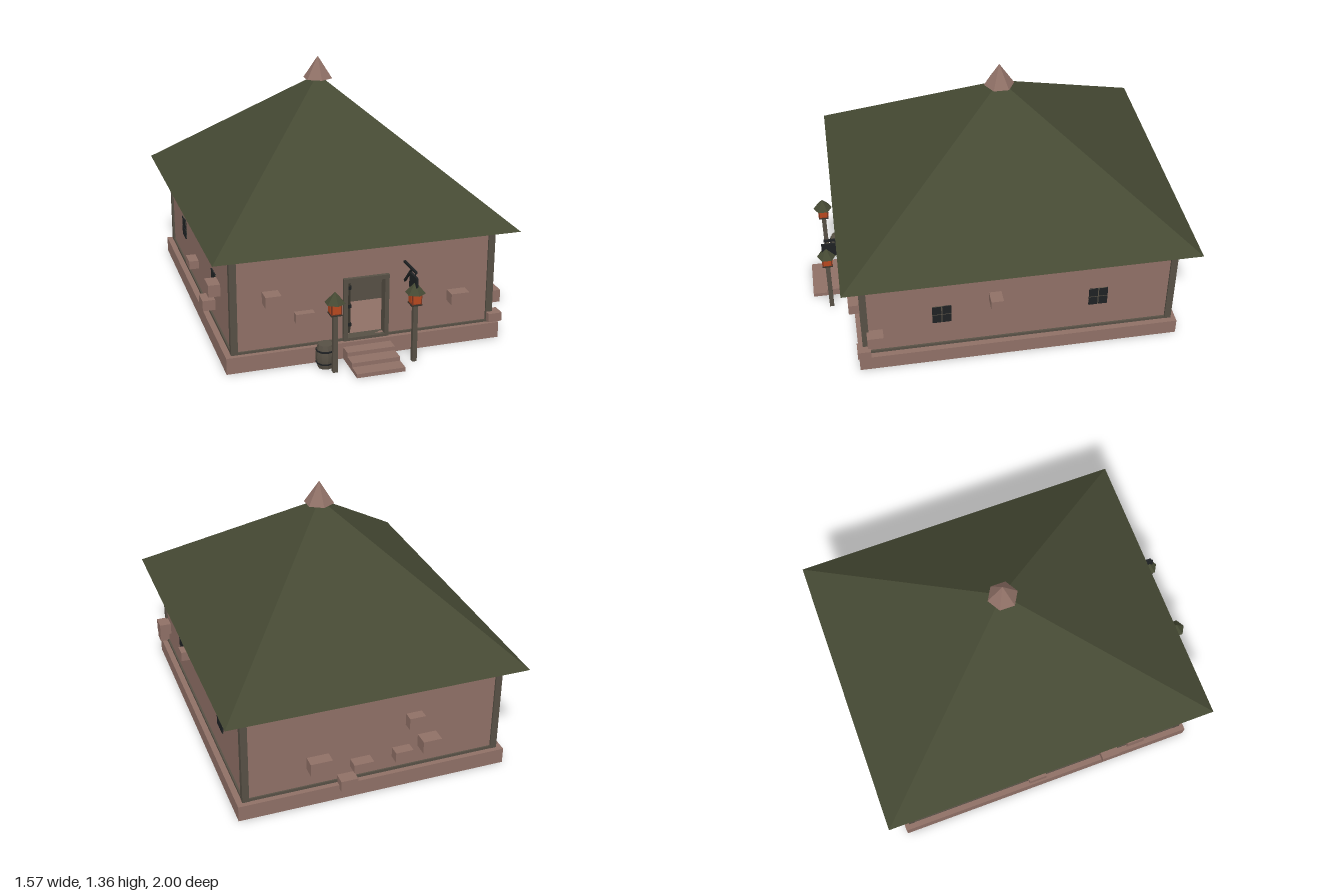
import * as THREE from 'three';
import { toCreasedNormals } from 'three/addons/utils/BufferGeometryUtils.js';

const mat = (name, color) => Object.assign(new THREE.MeshStandardMaterial({ color }), { name });

export function createModel() {
  const stone = mat('stone', 0x8f7066);
  const roofGreen = mat('roof green', 0x454933);
  const wood = mat('wood', 0x575045);
  const darkWood = mat('dark wood', 0x38342c);
  const iron = mat('iron', 0x1e2123);
  const glow = mat('lantern glow', 0xb8481f);
  const rust = mat('lantern frame', 0x7c3520);
  const red = mat('bottle red', 0xa0301c);

  const house = new THREE.Group();
  house.name = 'house';
  const CZ = -0.073; // middle of the building in z

  const add = (name, geo, material, parent = house) => {
    const mesh = new THREE.Mesh(toCreasedNormals(geo, 0.3), material);
    mesh.name = name;
    parent.add(mesh);
    return mesh;
  };
  // box given by its lower and upper limits
  const box = (name, material, x0, x1, y0, y1, z0, z1, parent) => {
    const m = add(name, new THREE.BoxGeometry(x1 - x0, y1 - y0, z1 - z0), material, parent);
    m.position.set((x0 + x1) / 2, (y0 + y1) / 2, (z0 + z1) / 2);
    return m;
  };

  // plinth
  box('plinth', stone, -0.72, 0.72, 0, 0.085, -0.93, 0.783);

  // walls, the front one with a doorway
  const front = new THREE.Shape();
  front.moveTo(-0.68, 0.08).lineTo(0.68, 0.08).lineTo(0.68, 0.6).lineTo(-0.68, 0.6).closePath();
  const doorway = new THREE.Path();
  doorway.moveTo(-0.1, 0.1).lineTo(-0.1, 0.4).lineTo(0.1, 0.4).lineTo(0.1, 0.1).closePath();
  front.holes.push(doorway);
  add('frontWall', new THREE.ExtrudeGeometry(front, { depth: 0.03, bevelEnabled: false }), stone).position.z = 0.72;
  box('backWall', stone, -0.68, 0.68, 0.08, 0.6, -0.895, -0.865);
  for (const s of [-1, 1]) {
    const x = s * 0.665;
    box('sideWall', stone, x - 0.015, x + 0.015, 0.08, 0.6, -0.865, 0.72);
  }

  // timber frame: corner posts, top and bottom beams
  for (const sx of [-1, 1]) {
    const px = sx * 0.6735;
    for (const z of [0.742, -0.887])
      box('cornerPost', wood, px - 0.0175, px + 0.0175, 0.085, 0.6, z - 0.018, z + 0.018);
    for (const [y0, y1] of [[0.085, 0.1], [0.578, 0.6]])
      box('sideBeam', wood, px - 0.016, px + 0.016, y0, y1, -0.87, 0.725);
    box('frontSill', wood, sx < 0 ? -0.66 : 0.12, sx < 0 ? -0.12 : 0.66, 0.085, 0.097, 0.73, 0.759);
  }
  box('frontTopBeam', wood, -0.66, 0.66, 0.578, 0.6, 0.73, 0.758);
  box('backTopBeam', wood, -0.66, 0.66, 0.578, 0.6, -0.903, -0.87);
  box('backSill', wood, -0.66, 0.66, 0.085, 0.1, -0.903, -0.87);

  // hipped roof and its cap
  const roofGeo = new THREE.ConeGeometry(Math.SQRT2, 1, 4).rotateY(Math.PI / 4).scale(0.787, 0.66, 0.923);
  add('roof', roofGeo, roofGreen).position.set(0, 0.93, CZ - 0.004);
  add('roofCap', new THREE.ConeGeometry(0.08, 0.12, 6), stone).position.set(0, 1.3, CZ);

  // door frame, open door leaf with straps
  box('doorJamb', wood, -0.118, -0.096, 0.085, 0.42, 0.715, 0.768);
  box('doorJamb', wood, 0.098, 0.12, 0.085, 0.42, 0.715, 0.768);
  box('doorLintel', wood, -0.118, 0.12, 0.398, 0.42, 0.715, 0.769);
  box('doorSill', wood, -0.118, 0.12, 0.085, 0.1, 0.715, 0.768);
  box('doorLeaf', darkWood, -0.092, -0.068, 0.105, 0.395, 0.53, 0.72);
  for (const y of [0.15, 0.25, 0.35])
    box('doorStrap', iron, -0.096, -0.063, y - 0.009, y + 0.009, 0.53, 0.722);

  // counter, shelf and bottle inside
  box('counter', wood, -0.3, 0.3, 0.085, 0.25, 0.22, 0.32);
  box('counterTop', iron, -0.31, 0.31, 0.25, 0.263, 0.21, 0.335);
  box('shelf', wood, -0.3, 0.3, 0.313, 0.324, -0.865, -0.78);
  const bottle = [[0, 0], [0.011, 0], [0.011, 0.02], [0.005, 0.027], [0.005, 0.038], [0, 0.038]];
  add('bottle', new THREE.LatheGeometry(bottle.map(p => new THREE.Vector2(...p)), 8), red).position.set(0.022, 0.324, -0.82);

  // entrance steps
  for (let i = 0; i < 3; i++)
    box('step', stone, -0.125, 0.125, i * 0.021, (i + 1) * 0.021, 0.78, 1 - i * 0.075);

  // four-pane windows on both sides
  for (const s of [-1, 1]) for (const z of [0.34, -0.49]) {
    const x = s * 0.682;
    box('windowBars', wood, x - 0.003, x + 0.003, 0.25, 0.36, z - 0.05, z + 0.05);
    for (const dy of [-0.029, 0.029]) for (const dz of [-0.0265, 0.0265])
      box('windowPane', iron, x - 0.005, x + 0.005, 0.305 + dy - 0.026, 0.305 + dy + 0.026,
        z + dz - 0.0235, z + dz + 0.0235);
  }

  // stones standing out of the walls: limits in x, y, z
  [
    [-0.53, -0.45, 0.342, 0.4, 0.72, 0.825],
    [-0.37, -0.273, 0.227, 0.274, 0.72, 0.79],
    [0.438, 0.535, 0.232, 0.29, 0.72, 0.815],
    [0.66, 0.733, 0.094, 0.14, 0.72, 0.79],
    [0.66, 0.745, 0.177, 0.243, 0.65, 0.735],
    [0.66, 0.755, 0.365, 0.417, 0.027, 0.092],
    [-0.742, -0.66, 0.286, 0.35, 0.39, 0.49],
    [-0.733, -0.66, 0.206, 0.252, -0.19, -0.09],
    [-0.747, -0.66, 0.15, 0.206, 0.25, 0.35],
    [0.24, 0.355, 0.2, 0.268, -0.957, -0.87],
    [0.02, 0.125, 0.16, 0.205, -0.955, -0.87],
    [0.105, 0.195, 0.065, 0.125, -0.96, -0.87],
    [-0.255, -0.17, 0.345, 0.41, -0.947, -0.87],
    [-0.195, -0.1, 0.165, 0.22, -0.95, -0.87],
    [-0.34, -0.24, 0.2, 0.268, -0.97, -0.87],
  ].forEach(b => box('wallStone', stone, ...b));

  // lantern posts
  for (const x of [-0.207, 0.205]) {
    const lamp = new THREE.Group();
    lamp.name = 'lanternPost';
    lamp.position.set(x, 0, 0.903);
    house.add(lamp);
    box('post', wood, -0.012, 0.012, 0, 0.31, -0.012, 0.012, lamp);
    box('lanternBase', darkWood, -0.028, 0.028, 0.306, 0.313, -0.028, 0.028, lamp);
    box('lanternFrame', rust, -0.026, 0.026, 0.313, 0.372, -0.026, 0.026, lamp);
    box('lanternGlass', glow, -0.02, 0.02, 0.318, 0.372, -0.028, 0.028, lamp);
    box('lanternGlass', glow, -0.028, 0.028, 0.318, 0.372, -0.02, 0.02, lamp);
    add('lanternRoof', new THREE.ConeGeometry(0.052, 0.058, 6), roofGreen, lamp).position.y = 0.396;
  }

  // blank hanging board on an iron bracket
  box('bracketArm', iron, 0.199, 0.211, 0.468, 0.478, 0.75, 0.91);
  const brace = add('bracketBrace', new THREE.BoxGeometry(0.01, 0.01, 0.138), iron);
  brace.position.set(0.205, 0.422, 0.805);
  brace.rotation.x = -Math.atan2(0.1, 0.095);
  box('hangingBoard', iron, 0.2, 0.21, 0.37, 0.45, 0.83, 0.925);
  for (const z of [0.845, 0.9]) box('boardHook', iron, 0.203, 0.207, 0.45, 0.47, z - 0.002, z + 0.002);

  // barrel with hoops
  const barrel = new THREE.Group();
  barrel.name = 'barrel';
  barrel.position.set(-0.235, 0, 0.837);
  house.add(barrel);
  const stave = [[0, 0], [0.037, 0], [0.047, 0.035], [0.049, 0.0625], [0.047, 0.09], [0.037, 0.125], [0, 0.125]];
  add('barrelBody', new THREE.LatheGeometry(stave.map(p => new THREE.Vector2(...p)), 10), wood, barrel);
  for (const y of [0.03, 0.095])
    add('barrelHoop', new THREE.CylinderGeometry(0.0485, 0.0485, 0.008, 10), iron, barrel).position.y = y;

  return house;
}
